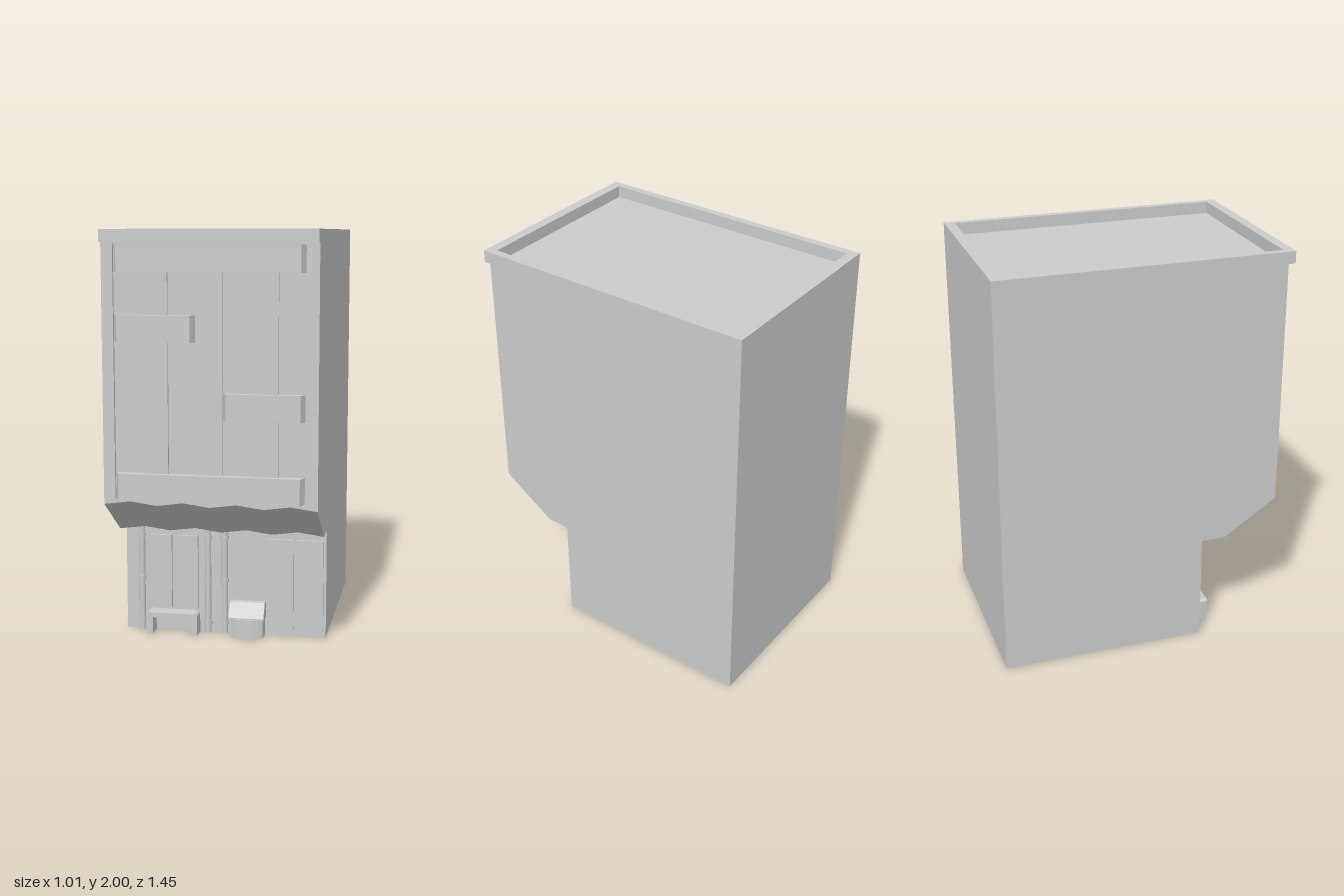
import * as THREE from 'three';

const mat = new THREE.MeshStandardMaterial({ color: 0xcccccc, flatShading: true });
const smooth = new THREE.MeshStandardMaterial({ color: 0xcccccc });
const HALF = 0.505;

function add(parent, name, geometry, material = mat) {
  const mesh = new THREE.Mesh(geometry, material);
  mesh.name = name;
  parent.add(mesh);
  return mesh;
}

// Box given by its limits on each axis
function box(x0, x1, y0, y1, z0, z1) {
  return new THREE.BoxGeometry(x1 - x0, y1 - y0, z1 - z0)
    .translate((x0 + x1) / 2, (y0 + y1) / 2, (z0 + z1) / 2);
}

// Side profile [z, y, wave weight] swept along x, with a folded underside
function bodyGeometry() {
  const profile = [
    [-0.725, 0, 0], [0.3, 0, 0], [0.3, 0.54, 1], [0.42, 0.54, 1], [0.69, 0.72, 1],
    [0.69, 0.745, 0], [0.675, 0.745, 0], [0.675, 1.94, 0], [-0.725, 1.94, 0],
  ];
  const folds = 8, pos = [];
  const point = (i, p) => [-HALF + (2 * HALF * i) / folds, p[1] + p[2] * (i % 2) * 0.017, p[0]];
  for (let i = 0; i < folds; i++) {
    profile.forEach((p, k) => {
      const q = profile[(k + 1) % profile.length];
      const a = point(i, p), b = point(i + 1, p), c = point(i + 1, q), d = point(i, q);
      pos.push(...a, ...b, ...c, ...a, ...c, ...d);
    });
  }
  const outline = profile.map((p) => new THREE.Vector2(p[0], p[1]));
  for (const [a, b, c] of THREE.ShapeUtils.triangulateShape(outline, [])) {
    for (const k of [a, b, c]) pos.push(...point(0, profile[k]));
    for (const k of [a, c, b]) pos.push(...point(folds, profile[k]));
  }
  const geo = new THREE.BufferGeometry();
  geo.setAttribute('position', new THREE.Float32BufferAttribute(pos, 3));
  geo.computeVertexNormals();
  return geo;
}

// Raised rim with an open middle
function rimGeometry() {
  const rect = (path, x, z) => path.moveTo(-x, -z).lineTo(x, -z).lineTo(x, z).lineTo(-x, z).closePath();
  const shape = rect(new THREE.Shape(), HALF, 0.725);
  shape.holes.push(rect(new THREE.Path(), 0.467, 0.675));
  return new THREE.ExtrudeGeometry(shape, { depth: 0.06, bevelEnabled: false })
    .rotateX(-Math.PI / 2).translate(0, 1.94, 0);
}

// Horizontal board whose ends slope in toward the front
function railGeometry(x0, x1, y0) {
  const geo = box(x0, x1, y0, y0 + 0.125, 0.67, 0.712);
  const p = geo.attributes.position, mid = (x0 + x1) / 2;
  for (let i = 0; i < p.count; i++) {
    if (p.getZ(i) > 0.7) p.setX(i, p.getX(i) - Math.sign(p.getX(i) - mid) * 0.021);
  }
  geo.computeVertexNormals();
  return geo;
}

// Profile of [z, y] points swept from x0 to x1
function sweepX(points, x0, x1) {
  const shape = new THREE.Shape(points.map(([z, y]) => new THREE.Vector2(-z, y)));
  return new THREE.ExtrudeGeometry(shape, { depth: x1 - x0, bevelEnabled: false })
    .rotateY(Math.PI / 2).translate(x0, 0, 0);
}

export function createModel() {
  const model = new THREE.Group();
  model.name = 'building';
  add(model, 'body', bodyGeometry());
  add(model, 'roofRim', rimGeometry());

  // Upper facade: corner frames, raised planks and nailed rails
  const facade = new THREE.Group();
  facade.name = 'upperFacade';
  model.add(facade);
  add(facade, 'rightFrame', box(-HALF, -0.45, 0.745, 1.94, 0.67, 0.69));
  add(facade, 'leftFrame', box(0.445, HALF, 0.745, 1.94, 0.67, 0.69));
  for (const [a, b] of [[-0.315, -0.195], [-0.065, 0.06], [0.19, 0.32]]) {
    add(facade, 'plank', box(a, b, 0.745, 1.93, 0.67, 0.688));
  }
  for (const [a, b, y] of [[-0.45, 0.445, 1.805], [-0.45, -0.065, 1.485], [0.06, 0.445, 1.13], [-0.45, 0.445, 0.747]]) {
    add(facade, 'rail', railGeometry(a, b, y));
  }

  // Shop front: window and door panels
  const shop = new THREE.Group();
  shop.name = 'shopFront';
  model.add(shop);
  for (const [a, b, y] of [[-0.378, -0.27, 0.12], [-0.243, -0.137, 0.12], [0.215, 0.345, 0.035], [0.36, 0.492, 0.035]]) {
    add(shop, 'panel', box(a, b, y, 0.49, 0.29, 0.315));
  }

  // Slim wall pipes with collars
  for (const x of [-0.425, -0.087, -0.002]) {
    add(shop, 'pipe', new THREE.CylinderGeometry(0.016, 0.016, 0.55, 10).translate(x, 0.275, 0.302), smooth);
    for (const y of [0.05, 0.27, 0.49]) {
      add(shop, 'pipeCollar', new THREE.CylinderGeometry(0.021, 0.021, 0.016, 10).translate(x, y, 0.302), smooth);
    }
  }

  // Bench: one bent strip of seat and two legs
  const bench = new THREE.Shape([
    [-0.385, 0], [-0.352, 0], [-0.352, 0.085], [-0.16, 0.085], [-0.16, 0], [-0.127, 0],
    [-0.127, 0.1], [-0.137, 0.11], [-0.375, 0.11], [-0.385, 0.1],
  ].map(([x, y]) => new THREE.Vector2(x, y)));
  add(model, 'bench', new THREE.ExtrudeGeometry(bench, { depth: 0.08, bevelEnabled: false }).translate(0, 0, 0.31));

  // Bin: bowed base under a sloping lid
  const base = new THREE.Shape();
  base.moveTo(0.04, -0.29).lineTo(0.04, -0.37).quadraticCurveTo(0.12, -0.42, 0.2, -0.37).lineTo(0.2, -0.29).closePath();
  add(model, 'binBase', new THREE.ExtrudeGeometry(base, { depth: 0.095, bevelEnabled: false, curveSegments: 8 })
    .rotateX(-Math.PI / 2));
  add(model, 'binLid', sweepX([[0.29, 0.09], [0.29, 0.17], [0.335, 0.17], [0.38, 0.1], [0.38, 0.09]], 0.03, 0.205));

  return model;
}
